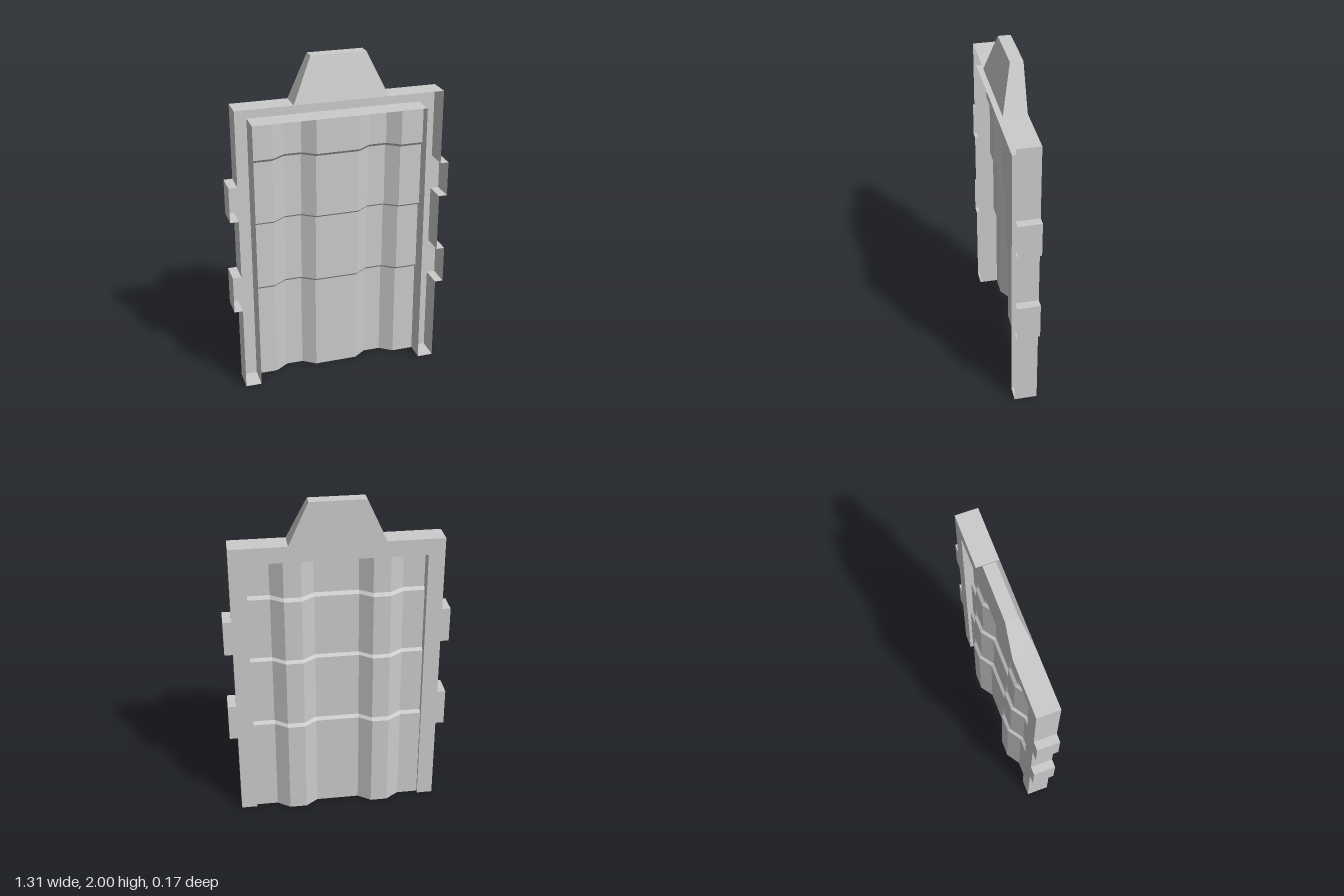
import * as THREE from 'three';

const BACK = -0.05, FRONT = 0.084;
const material = new THREE.MeshStandardMaterial({
  color: 0xcccccc, flatShading: true, side: THREE.DoubleSide,
});

// Sheet of quads stitched between successive rows of [x, y, z] points
function sheet(name, rows) {
  const pos = [];
  for (let r = 0; r < rows.length - 1; r++) {
    for (let i = 0; i < rows[r].length - 1; i++) {
      const a = rows[r][i], b = rows[r][i + 1];
      const c = rows[r + 1][i + 1], d = rows[r + 1][i];
      pos.push(...a, ...b, ...c, ...a, ...c, ...d);
    }
  }
  const geometry = new THREE.BufferGeometry();
  geometry.setAttribute('position', new THREE.Float32BufferAttribute(pos, 3));
  geometry.computeVertexNormals();
  const mesh = new THREE.Mesh(geometry, material);
  mesh.name = name;
  return mesh;
}

// Front edge depth: the tongue tapers above the top bar
const frontZ = (y) => (y > 1.75 ? 0.022 : FRONT);

export function createModel() {
  const model = new THREE.Group();
  model.name = 'doorPanel';

  // Right half of the outline, inner notch to tongue, with two side tabs
  const half = [
    [0.51, 1.655], [0.51, 0], [0.605, 0],
    [0.605, 0.525], [0.655, 0.525], [0.655, 0.75], [0.605, 0.75],
    [0.605, 1.1], [0.655, 1.1], [0.655, 1.31], [0.605, 1.31],
    [0.605, 1.75], [0.275, 1.75], [0.16, 2],
  ];
  const mirrored = half.map(([x, y]) => [-x, y]).reverse();
  const outline = [...half, ...mirrored];

  // Frame: back plate plus side walls, hollow and open towards the front
  const frame = new THREE.Group();
  frame.name = 'frame';
  const shape = new THREE.Shape(outline.map(([x, y]) => new THREE.Vector2(x, y)));
  const plate = new THREE.Mesh(new THREE.ShapeGeometry(shape), material);
  plate.name = 'frameBackPlate';
  plate.position.z = BACK;
  const closed = [...outline, outline[0]];
  frame.add(
    plate,
    sheet('frameSideWalls', [
      closed.map(([x, y]) => [x, y, BACK]),
      closed.map(([x, y]) => [x, y, frontZ(y)]),
    ]),
    // Sloping front of the top tongue
    sheet('tongueFront', [
      [[-0.275, 1.75, FRONT], [0.275, 1.75, FRONT]],
      [[-0.16, 2, 0.022], [0.16, 2, 0.022]],
    ]),
  );
  model.add(frame);

  // Corrugated panel: two ridges to the back, stepping inward as it rises
  const base = -0.03, ridge = -0.084;
  const profile = [
    [0.51, base], [0.38, base], [0.305, ridge], [0.203, ridge], [0.128, base],
    [-0.13, base], [-0.205, ridge], [-0.305, ridge], [-0.385, base], [-0.51, base],
  ];
  const rows = [];
  const steps = [[0, 0.595], [0.612, 1.022], [1.037, 1.412], [1.43, 1.655]];
  steps.forEach(([bottom, top], i) => {
    for (const y of [bottom, top]) {
      rows.push(profile.map(([x, z]) => [x, y, z + i * 0.018]));
    }
  });
  model.add(sheet('corrugatedPanel', rows));

  return model;
}
